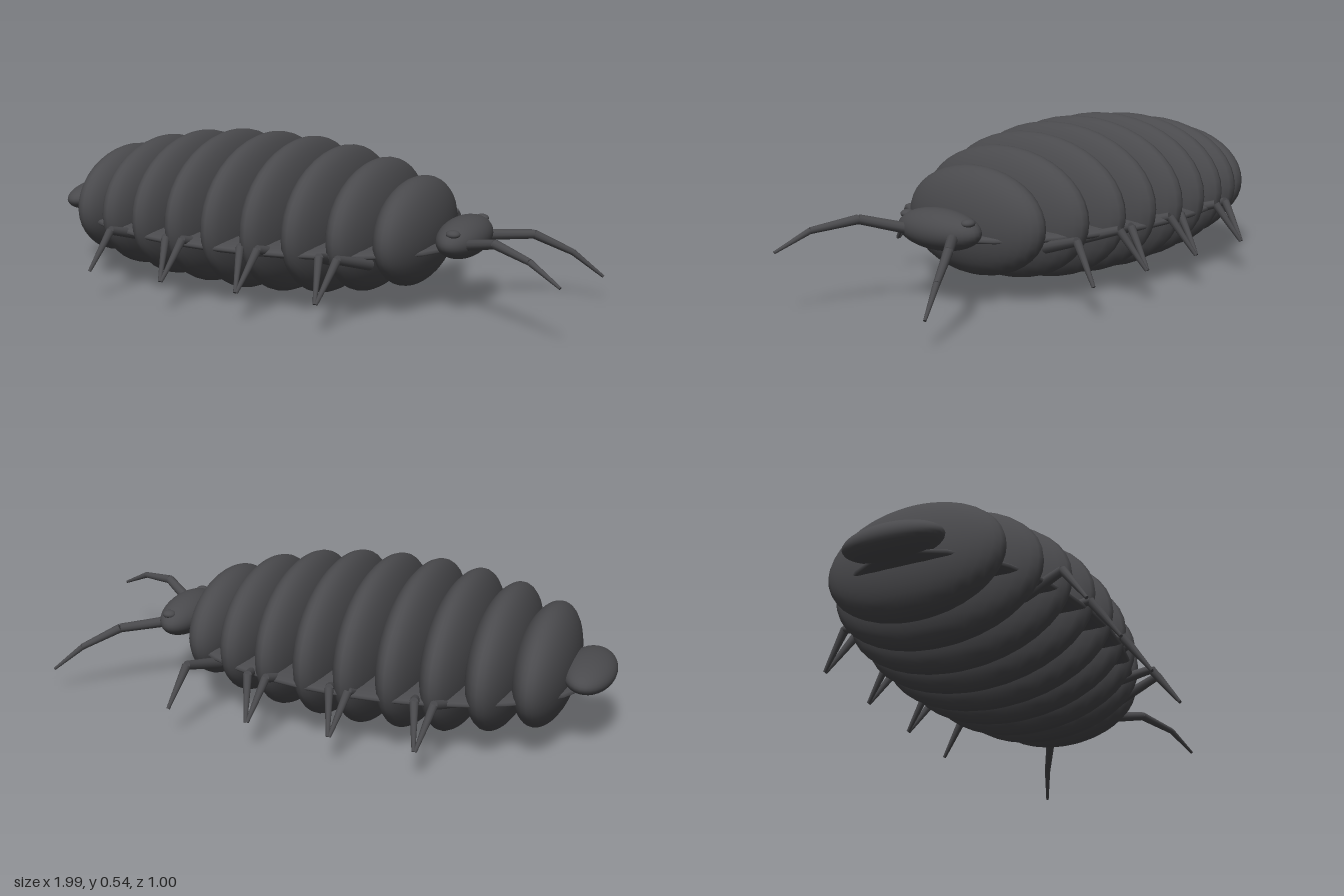
import * as THREE from 'three';

export function createModel() {
  const model = new THREE.Group();
  const shell = new THREE.MeshStandardMaterial({ color: 0x4a4a4d });
  shell.name = 'charcoal shell';

  const ball = new THREE.SphereGeometry(1, 32, 20);
  const ellipsoid = (name, center, radii, parent = model) => {
    const mesh = new THREE.Mesh(ball, shell);
    mesh.name = name;
    mesh.position.set(...center);
    mesh.scale.set(...radii);
    parent.add(mesh);
    return mesh;
  };

  // Chain of tapered rods through the given joints
  const up = new THREE.Vector3(0, 1, 0);
  const limb = (name, points, radii) => {
    const group = new THREE.Group();
    group.name = name;
    for (let i = 0; i < points.length - 1; i++) {
      const a = new THREE.Vector3(...points[i]);
      const b = new THREE.Vector3(...points[i + 1]);
      const dir = b.clone().sub(a);
      const rod = new THREE.Mesh(
        new THREE.CylinderGeometry(radii[i + 1], radii[i], dir.length(), 10), shell);
      rod.name = `${name}Joint${i + 1}`;
      rod.position.copy(a).add(b).multiplyScalar(0.5);
      rod.quaternion.setFromUnitVectors(up, dir.normalize());
      group.add(rod);
    }
    model.add(group);
  };

  // Overlapping armour segments: [centre y, half height, half width]
  const segments = [
    [0.262, 0.195, 0.305], [0.269, 0.232, 0.365], [0.273, 0.256, 0.4],
    [0.276, 0.268, 0.42], [0.274, 0.272, 0.426], [0.274, 0.266, 0.416],
    [0.271, 0.251, 0.395], [0.267, 0.224, 0.353], [0.259, 0.183, 0.289],
  ];
  segments.forEach(([y, ry, rz], i) =>
    ellipsoid(`bodySegment${i + 1}`, [-0.77 + i * 0.145, y, 0], [0.097, ry, rz]));

  // Flat side skirt showing between the segments
  ellipsoid('sideSkirt', [-0.19, 0.22, 0], [0.73, 0.045, 0.41]);

  // Tail plate and head
  ellipsoid('tailPlate', [-0.912, 0.26, 0], [0.086, 0.054, 0.17]).rotation.z = 0.12;
  ellipsoid('head', [0.565, 0.257, 0], [0.08, 0.068, 0.168]);

  // Seven legs a side, leaning alternately forward and back
  for (const side of [1, -1]) {
    ellipsoid(side > 0 ? 'rightEye' : 'leftEye', [0.575, 0.293, side * 0.133], [0.024, 0.014, 0.022]);
    for (let i = 0; i < 7; i++) {
      const x = -0.54 + i * 0.145;
      const lean = (i % 2 ? 1 : -1) * side;
      limb(`${side > 0 ? 'right' : 'left'}Leg${i + 1}`, [
        [x, 0.19, side * 0.25],
        [x + lean * 0.04, 0.238, side * 0.408],
        [x + lean * 0.07, 0.11, side * 0.497],
      ], [0.02, 0.015, 0.006]);
    }
  }

  // Antennae, one raised and one drooping
  const taper = [0.019, 0.016, 0.011, 0.005];
  limb('raisedAntenna',
    [[0.6, 0.25, 0.09], [0.74, 0.292, 0.19], [0.88, 0.268, 0.262], [0.993, 0.21, 0.305]], taper);
  limb('droopingAntenna',
    [[0.6, 0.247, -0.09], [0.74, 0.24, -0.2], [0.86, 0.175, -0.265], [0.957, 0.09, -0.308]], taper);

  return model;
}
